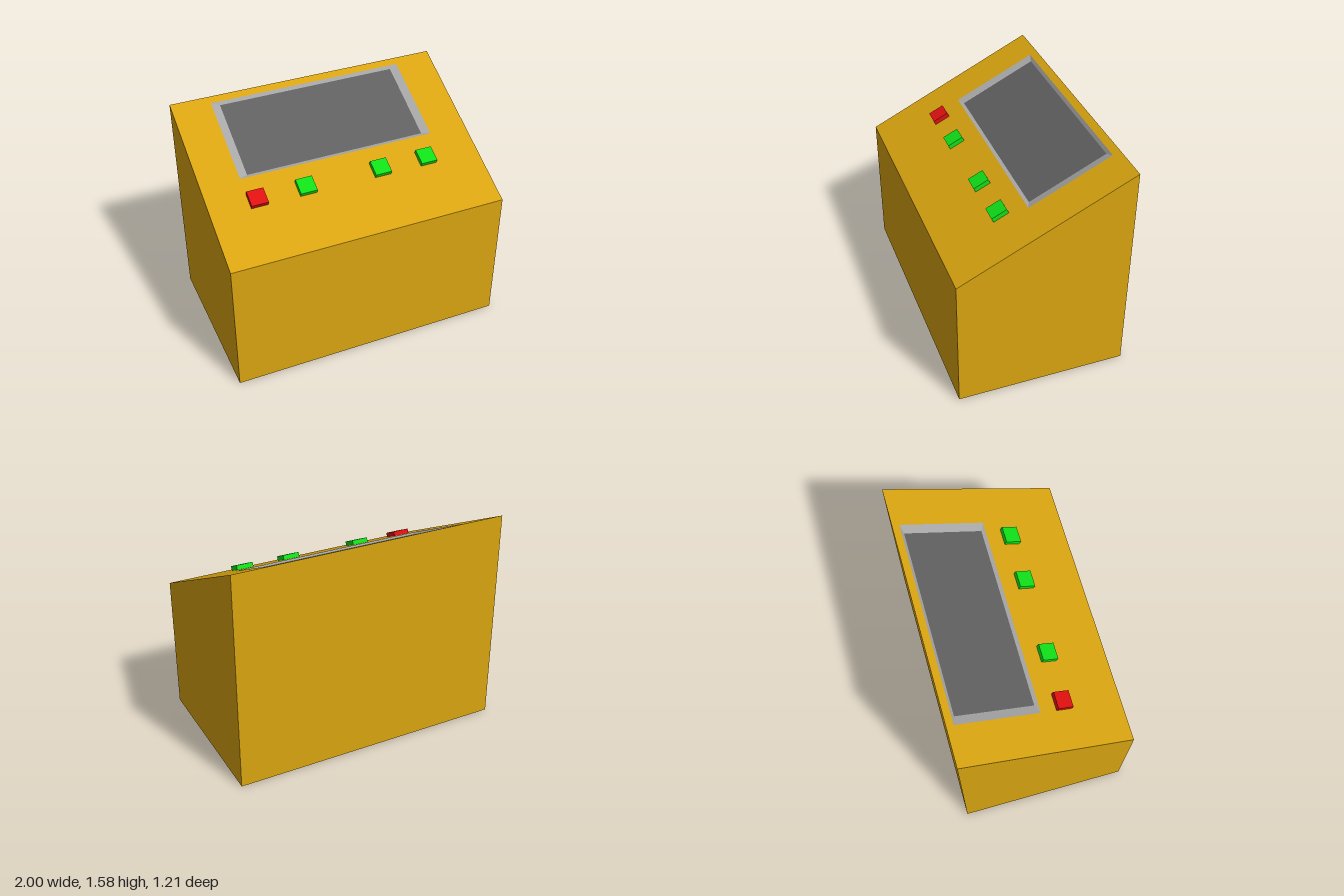
import * as THREE from 'three';

const W = 1, D = 0.605, FRONT_H = 1, BACK_H = 1.58;
const SLOPE = Math.hypot(BACK_H - FRONT_H, 2 * D);

const paint = (color) => new THREE.MeshStandardMaterial({ color, flatShading: true });

function addMesh(parent, name, geometry, material) {
  const mesh = new THREE.Mesh(geometry, material);
  mesh.name = name;
  parent.add(mesh);
  return mesh;
}

// Flat faces, each a list of corners counter-clockwise from outside
function facesGeometry(faces) {
  const points = faces.flatMap(([a, b, c, d]) => [a, b, c, a, c, d]);
  const geometry = new THREE.BufferGeometry();
  geometry.setAttribute('position', new THREE.Float32BufferAttribute(points.flat(), 3));
  geometry.computeVertexNormals();
  return geometry;
}

const rectangle = (x, y0, y1, z) => [[-x, y0, z], [x, y0, z], [x, y1, z], [-x, y1, z]];

export function createModel() {
  const model = new THREE.Group();
  model.name = 'controlConsole';
  const gold = paint(0xdaa510);

  // Housing walls and floor: side profile swept across the width, open under the panel
  const profile = [[BACK_H, -D], [0, -D], [0, D], [FRONT_H, D]];
  const left = profile.map(([y, z]) => [W, y, z]);
  const right = profile.map(([y, z]) => [-W, y, z]);
  const walls = [[...left].reverse(), right];
  for (let i = 0; i < 3; i++) walls.push([left[i], left[i + 1], right[i + 1], right[i]]);
  addMesh(model, 'housing', facesGeometry(walls), gold);

  // Sloped panel frame: x across, y up the slope, z out of the panel
  const panel = new THREE.Group();
  panel.name = 'controlPanel';
  panel.position.set(0, FRONT_H, D);
  panel.rotation.x = -Math.atan2(2 * D, BACK_H - FRONT_H);
  model.add(panel);

  // Panel plate with the display opening
  const outer = rectangle(0.72, 0.649, 1.286, 0);
  const inner = rectangle(0.66, 0.673, 1.262, -0.013);
  const toShape = (corners) => corners.map(([x, y]) => new THREE.Vector2(x, y));
  const plate = new THREE.Shape(toShape(rectangle(W, 0, SLOPE, 0)));
  plate.holes.push(new THREE.Path(toShape(outer).reverse()));
  addMesh(panel, 'panelPlate', new THREE.ShapeGeometry(plate), gold);

  // Bevelled bezel sinking to the recessed screen
  const bezel = outer.map((corner, i) => {
    const n = (i + 1) % 4;
    return [corner, outer[n], inner[n], inner[i]];
  });
  addMesh(panel, 'screenBezel', facesGeometry(bezel), paint(0xa6a6a6));
  addMesh(panel, 'screen', facesGeometry([inner]), paint(0x606060));

  // Row of square buttons, the first one red
  const red = paint(0xe01010), green = paint(0x10e018);
  const buttonGeometry = new THREE.BoxGeometry(0.12, 0.117, 0.033);
  [-0.66, -0.31, 0.246, 0.6].forEach((x, i) => {
    const button = addMesh(panel, i ? 'greenButton' + i : 'redButton', buttonGeometry, i ? green : red);
    button.position.set(x, 0.469, 0.0165);
  });

  return model;
}
